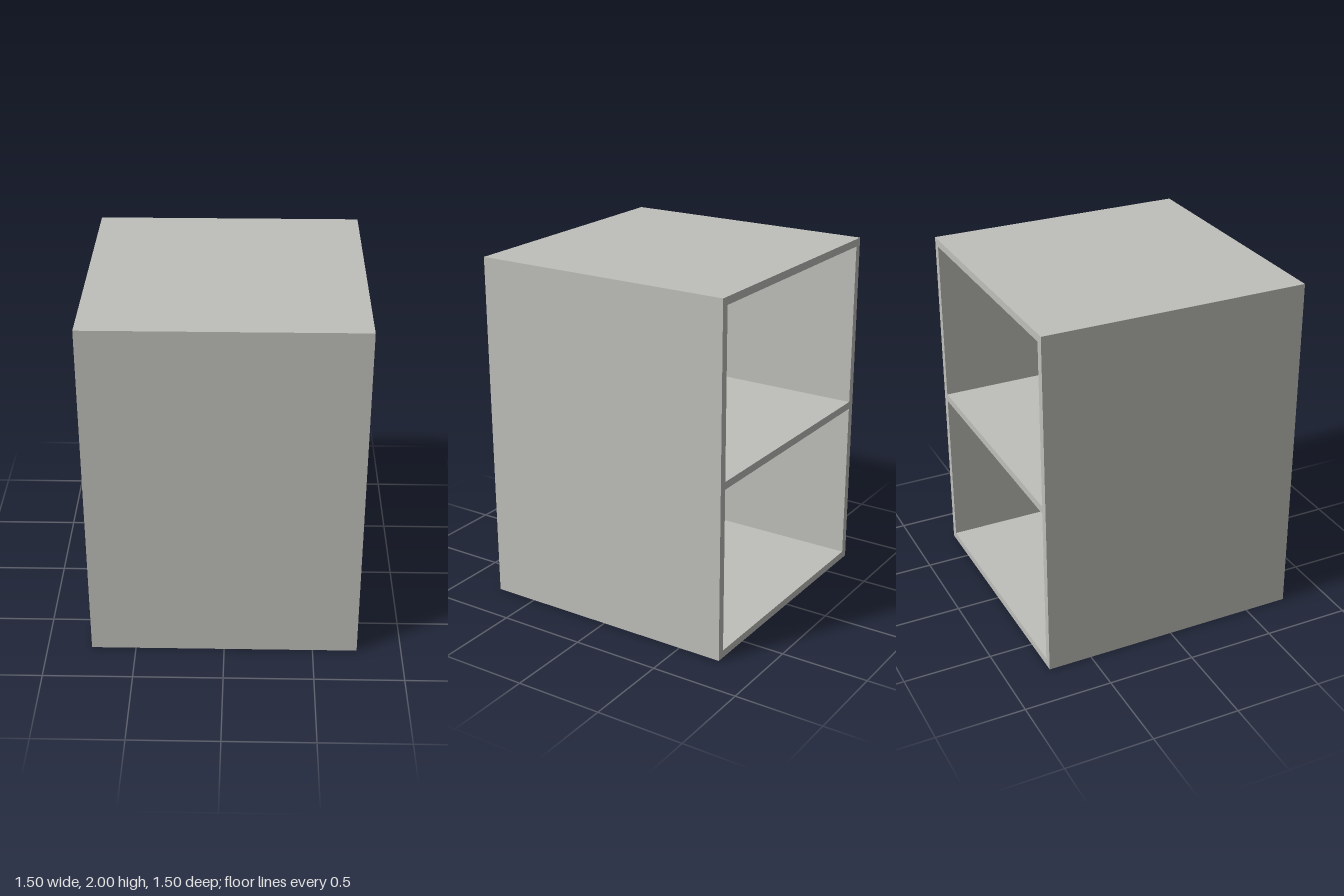
import * as THREE from 'three';

export function createModel() {
  const group = new THREE.Group();
  const paint = new THREE.MeshStandardMaterial({ color: 0xbfbfba });
  paint.name = 'light grey';

  const W = 1.5, H = 2, D = 1.5; // overall size
  const T = 0.043;               // board thickness
  const F = 0.006;               // thin front panel
  const depth = D - F, z = -F / 2;

  function board(name, w, h, d, x, y, zPos) {
    const mesh = new THREE.Mesh(new THREE.BoxGeometry(w, h, d), paint);
    mesh.name = name;
    mesh.position.set(x, y, zPos);
    group.add(mesh);
  }

  // side walls
  for (const [name, s] of [['leftSide', 1], ['rightSide', -1]]) {
    board(name, T, H, depth, s * (W - T) / 2, H / 2, z);
  }

  // horizontal boards between the sides
  for (const [name, y] of [['bottom', T / 2], ['middleShelf', H / 2], ['top', H - T / 2]]) {
    board(name, W - 2 * T, T, depth, 0, y, z);
  }

  // closed front; the back stays open
  board('frontPanel', W, H, F, 0, H / 2, (D - F) / 2);

  return group;
}
